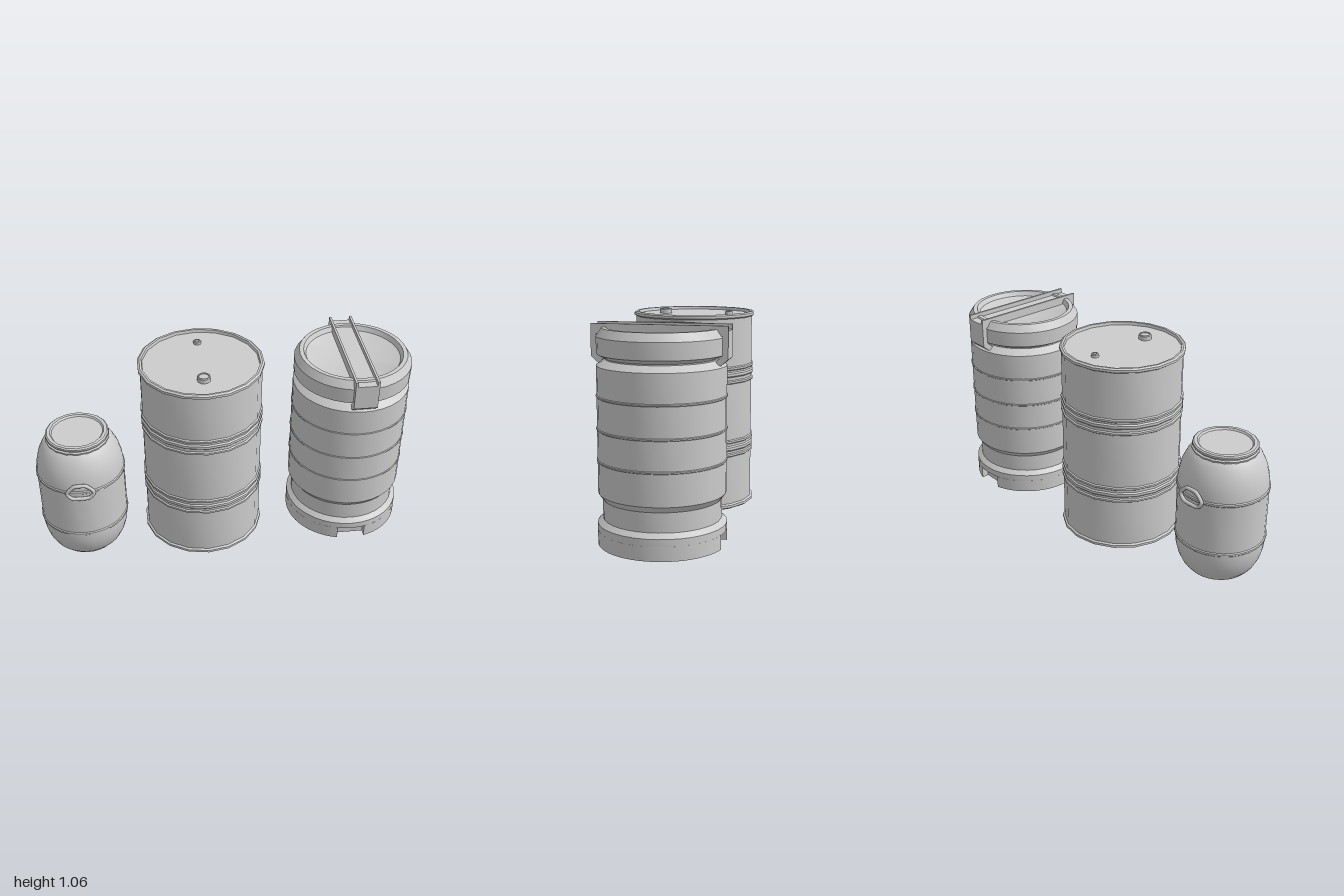
import * as THREE from 'three';
import { toCreasedNormals } from 'three/addons/utils/BufferGeometryUtils.js';

const grey = new THREE.MeshStandardMaterial({ color: 0xcccccc });

function part(parent, name, geometry, x = 0, y = 0, z = 0) {
  const mesh = new THREE.Mesh(geometry, grey);
  mesh.name = name;
  mesh.position.set(x, y, z);
  parent.add(mesh);
  return mesh;
}

// Solid of revolution from [radius, height] pairs, bottom to top
function turned(points, sides) {
  const profile = points.map(([r, y]) => new THREE.Vector2(r, y));
  return toCreasedNormals(new THREE.LatheGeometry(profile, sides), 0.5);
}

// Rounded bead standing out of a wall of radius r
const bead = (r, y, half, out) => [
  [r, y - half], [r + out, y - half * 0.5], [r + out, y + half * 0.5], [r, y + half],
];

function extruded(shape, depth) {
  return toCreasedNormals(
    new THREE.ExtrudeGeometry(shape, { depth, bevelEnabled: false }), 0.5);
}

// Small keg with rounded shoulders, screw lid and two loop handles
function smallBarrel() {
  const g = new THREE.Group();
  g.name = 'smallBarrel';
  part(g, 'smallBody', turned([
    [0, 0], [0.16, 0], [0.19, 0.035], [0.212, 0.08], [0.225, 0.13], [0.23, 0.18],
    ...bead(0.23, 0.2, 0.01, 0.005),
    ...bead(0.23, 0.485, 0.01, 0.005),
    [0.225, 0.545], [0.211, 0.6], [0.187, 0.65], [0.16, 0.685], [0.15, 0.69],
  ], 32));
  part(g, 'smallLid', turned([
    [0.15, 0.675], [0.165, 0.678], [0.167, 0.688], [0.157, 0.692], [0.157, 0.696],
    [0.164, 0.7], [0.164, 0.71], [0.157, 0.716], [0.14, 0.716], [0.133, 0.707], [0, 0.707],
  ], 18));
  // Handle outline, right half mirrored to the left
  const half = [[0.03, 0.532], [0.066, 0.498], [0.066, 0.478], [0.04, 0.453]];
  const loop = [...half, ...half.map(([x, y]) => [-x, y]).reverse()];
  for (const side of [1, -1]) {
    const curve = new THREE.CatmullRomCurve3(
      loop.map(([x, y]) => new THREE.Vector3(x, y, side * 0.235)), true, 'catmullrom', 0.3);
    part(g, 'handle', new THREE.TubeGeometry(curve, 40, 0.01, 8, true));
  }
  return g;
}

// Large drum with rolling hoops, rolled rims and two bungs
function steelDrum() {
  const g = new THREE.Group();
  g.name = 'drum';
  const r = 0.316;
  const hoops = [[0.296, 0.01], [0.331, 0.014], [0.368, 0.01],
    [0.688, 0.01], [0.727, 0.014], [0.76, 0.01]];
  part(g, 'drumBody', turned([
    [0, 0.008], [0.305, 0.008], [0.31, 0],
    ...bead(r, 0.016, 0.013, 0.01),
    ...hoops.flatMap(([y, h]) => bead(r, y, h, 0.007)),
    ...bead(r, 1.034, 0.013, 0.01),
    [0.305, 1.046], [0.302, 1.03], [0, 1.03],
  ], 18));
  for (const [name, z, radius, top] of [['largeBung', 0.16, 0.034, 1.056], ['smallBung', -0.19, 0.02, 1.048]]) {
    part(g, name, turned([
      [radius, 1.025], [radius, top - 0.004], [radius - 0.004, top],
      [radius - 0.009, top], [radius - 0.01, top - 0.004], [0, top - 0.004],
    ], 12), 0, 0, z);
  }
  return g;
}

// Tall cask with notched base, ribbed wall, and a lid held by a channel clamp
function clampedBarrel() {
  const g = new THREE.Group();
  g.name = 'clampedBarrel';
  const R = 0.31;

  // Foot with a notch cut in at front and back
  const foot = new THREE.Shape();
  const a = Math.asin(0.075 / R), inner = 0.262;
  foot.absarc(0, 0, R, -Math.PI / 2 + a, Math.PI / 2 - a, false);
  foot.lineTo(0.075, inner);
  foot.lineTo(-0.075, inner);
  foot.absarc(0, 0, R, Math.PI / 2 + a, Math.PI * 1.5 - a, false);
  foot.lineTo(-0.075, -inner);
  foot.lineTo(0.075, -inner);
  foot.closePath();
  part(g, 'foot', extruded(foot, 0.07).rotateX(-Math.PI / 2));

  const ribs = [0.41, 0.56, 0.715].flatMap((y) => bead(0.306, y, 0.006, 0.004));
  part(g, 'barrelBody', turned([
    [0, 0.07], [R, 0.07], [R, 0.105], [0.284, 0.127], [0.284, 0.222], [0.306, 0.252],
    ...ribs, [0.306, 0.858], [0.265, 0.886], [0.265, 0.9],
  ], 36));
  part(g, 'lid', turned([
    [0.262, 0.89], [0.304, 0.912], [0.306, 0.993], [0.28, 1.032], [0.258, 1.032],
    [0.245, 1.008], [0.235, 1.003], [0, 1.003],
  ], 36));

  // Clamp side outline: spans the lid and hooks under its edge at both ends
  const clampPlate = (top, width) => {
    const end = [[0.326, top], [0.326, 0.895], [0.288, 0.862], [0.268, 0.884], [0.3, 0.912], [0.3, 1.0]];
    const outline = [...end, ...end.map(([z, y]) => [-z, y]).reverse()];
    const shape = new THREE.Shape(outline.map(([z, y]) => new THREE.Vector2(z, y)));
    return extruded(shape, width).translate(0, 0, -width / 2).rotateY(Math.PI / 2);
  };
  part(g, 'clampWeb', clampPlate(1.024, 0.1));
  for (const side of [1, -1]) part(g, 'clampFlange', clampPlate(1.048, 0.012), side * 0.055);
  return g;
}

export function createModel() {
  const model = new THREE.Group();
  model.name = 'barrels';
  const small = smallBarrel();
  small.position.set(-0.765, 0, 0.085);
  const drum = steelDrum();
  drum.position.set(-0.11, 0, 0.008);
  const clamped = clampedBarrel();
  clamped.position.set(0.688, 0, -0.013);
  model.add(small, drum, clamped);
  return model;
}
